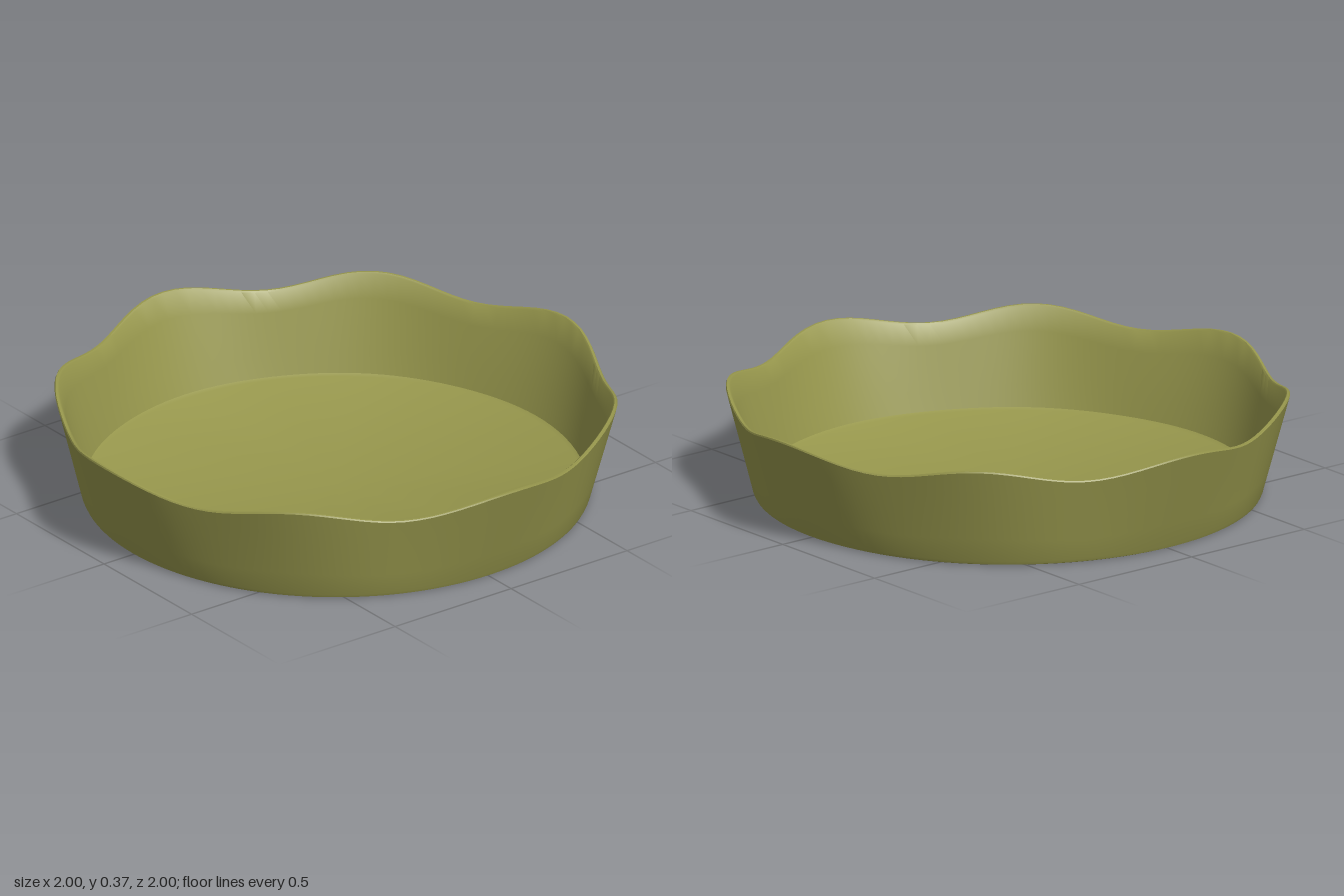
import * as THREE from 'three';
import { toCreasedNormals } from 'three/addons/utils/BufferGeometryUtils.js';

const SEGMENTS = 128;
const BASE_RADIUS = 0.88;

// Eight gentle waves around the rim, in height and in radius
const rimHeight = (a) => 0.342 + 0.025 * Math.cos(8 * a);
const rimRadius = (a) => 0.97 + 0.0175 * Math.cos(8 * a) + 0.0125 * Math.cos(4 * a);

// Point on the sloping wall: t runs from base to rim, inset moves it inwards
function wall(t, inset = 0, drop = 0) {
  return (a) => [
    THREE.MathUtils.lerp(BASE_RADIUS, rimRadius(a), t) - inset,
    THREE.MathUtils.lerp(0.015, rimHeight(a), t) - drop,
  ];
}
const flat = (r, y) => () => [r, y];

// Skins a closed list of rings; each ring gives [radius, y] for an angle
function skinRings(rings) {
  const positions = [];
  const index = [];
  for (const ring of rings) {
    for (let j = 0; j < SEGMENTS; j++) {
      const a = (j / SEGMENTS) * Math.PI * 2;
      const [r, y] = ring(a);
      positions.push(r * Math.sin(a), y, r * Math.cos(a));
    }
  }
  const last = rings.length - 2;
  for (let i = 0; i <= last; i++) {
    for (let j = 0; j < SEGMENTS; j++) {
      const k = (j + 1) % SEGMENTS;
      const a = i * SEGMENTS + j, b = i * SEGMENTS + k;
      const c = a + SEGMENTS, d = b + SEGMENTS;
      // The first and last rings are single centre points
      if (i > 0) index.push(a, b, c);
      if (i < last) index.push(b, d, c);
      else index.push(a, b, d);
      if (i === last) index.splice(-3);
    }
  }
  const geometry = new THREE.BufferGeometry();
  geometry.setAttribute('position', new THREE.Float32BufferAttribute(positions, 3));
  geometry.setIndex(index);
  return toCreasedNormals(geometry, 0.6);
}

export function createModel() {
  const material = new THREE.MeshStandardMaterial({ color: 0x96964c });
  const rings = [
    // underside and rounded foot
    flat(0, 0), flat(0.865, 0), flat(0.875, 0.004),
    // outer wall
    wall(0), wall(0.25), wall(0.5), wall(0.75), wall(0.985),
    // thin rounded lip
    wall(1, 0.004), wall(1, 0.012), wall(0.985, 0.016),
    // inner wall
    wall(0.75, 0.017), wall(0.5, 0.018), wall(0.25, 0.019), wall(0.03, 0.02),
    // floor
    flat(0.85, 0.018), flat(0, 0.018),
  ];
  const dish = new THREE.Mesh(skinRings(rings), material);
  dish.name = 'wavyDish';

  const group = new THREE.Group();
  group.name = 'scallopedDish';
  group.add(dish);
  return group;
}
